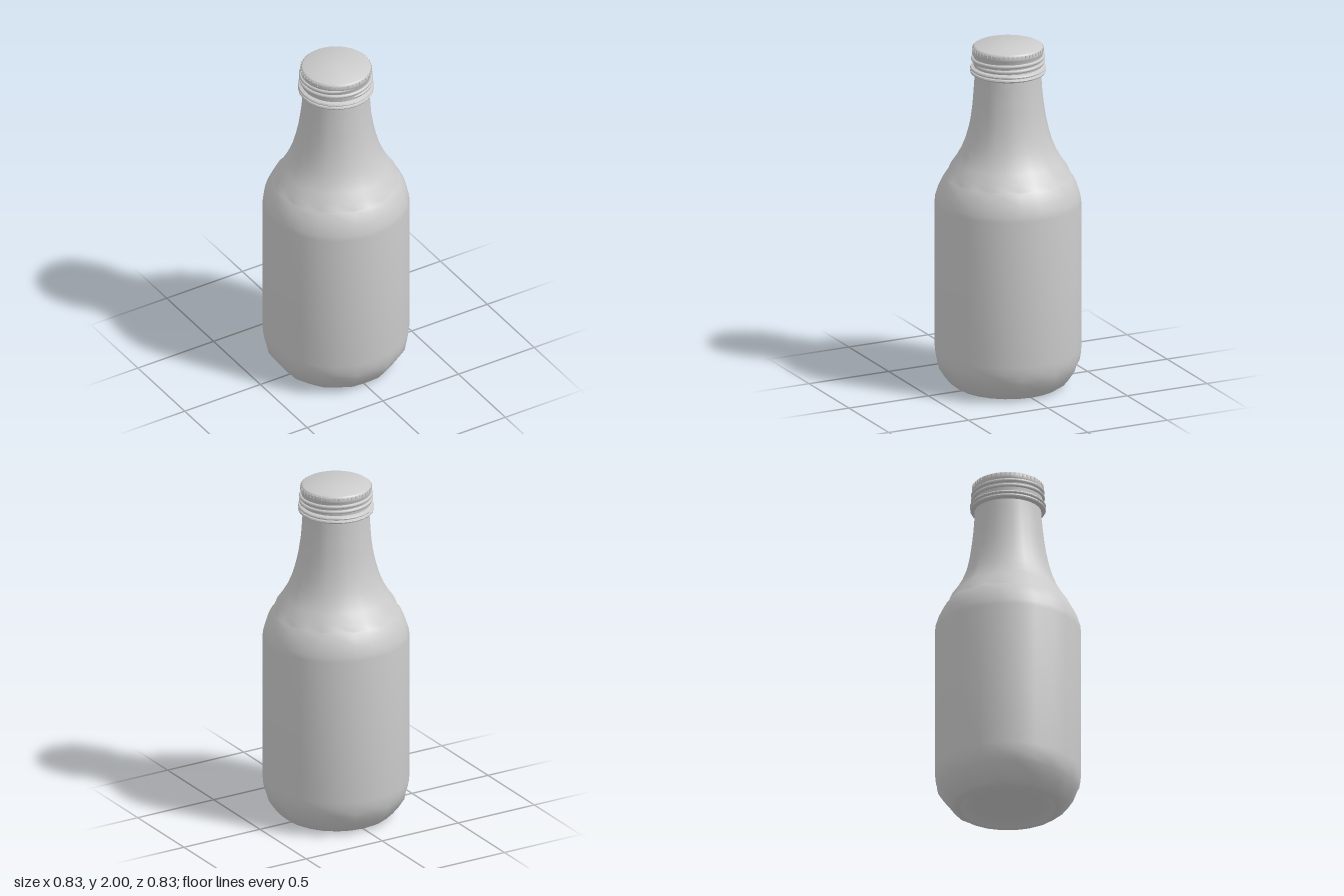
import * as THREE from 'three';
import { toCreasedNormals } from 'three/addons/utils/BufferGeometryUtils.js';

const material = new THREE.MeshStandardMaterial({ color: 0xcccccc });
const SIDES = 24;

// Lathe from [radius, y, flute, lift] rows; odd columns swell by flute and shift by lift
function lathe(rows, sides = SIDES, crease = 0.65) {
  const geo = new THREE.LatheGeometry(rows.map(([r, y]) => new THREE.Vector2(r, y)), sides);
  const pos = geo.attributes.position;
  for (let i = 0; i < pos.count; i++) {
    const column = Math.floor(i / rows.length);
    const [r, y, flute = 0, lift = 0] = rows[i % rows.length];
    if (column % 2 === 0 || r === 0) continue;
    const k = (r + flute) / r;
    pos.setXYZ(i, pos.getX(i) * k, y + lift, pos.getZ(i) * k);
  }
  return toCreasedNormals(geo, crease);
}

function add(group, name, geo) {
  const mesh = new THREE.Mesh(geo, material);
  mesh.name = name;
  group.add(mesh);
  return mesh;
}

// Helical thread whose ends sink into the wall
class ThreadCurve extends THREE.Curve {
  getPoint(t, target = new THREE.Vector3()) {
    const angle = t * Math.PI * 4;
    const r = 0.198 - 0.012 * Math.max(0, 1 - Math.min(t, 1 - t) * 16);
    return target.set(r * Math.sin(angle), 1.895 + 0.06 * t, r * Math.cos(angle));
  }
}

export function createModel() {
  const bottle = new THREE.Group();
  bottle.name = 'bottle';

  // Recessed base, fluted heel, plain label wall, fluted shoulder and neck
  add(bottle, 'body', lathe([
    [0, 0.03], [0.2, 0.026], [0.25, 0.018], [0.265, 0.004], [0.28, 0], [0.3, 0.004],
    [0.322, 0.02, 0.006], [0.354, 0.065, 0.01], [0.386, 0.115, 0.01], [0.395, 0.135, 0.007, 0.008],
    [0.403, 0.148, 0, 0.008], [0.409, 0.18], [0.413, 0.22], [0.413, 0.6], [0.413, 1.08], [0.41, 1.11],
    [0.393, 1.165], [0.372, 1.21], [0.357, 1.237, 0, -0.008], [0.345, 1.247, 0.008, -0.008],
    [0.326, 1.275, 0.012], [0.29, 1.325, 0.013], [0.264, 1.37, 0.013], [0.24, 1.43, 0.012],
    [0.222, 1.5, 0.01], [0.209, 1.57, 0.008], [0.2, 1.65, 0.005], [0.194, 1.73, 0.002],
    [0.19, 1.79], [0.188, 1.845],
  ]));

  // Two thin beads below the closure
  add(bottle, 'neckRings', lathe([
    [0.186, 1.835], [0.2, 1.837], [0.211, 1.842], [0.214, 1.848], [0.211, 1.855], [0.203, 1.858],
    [0.203, 1.862], [0.213, 1.865], [0.215, 1.87], [0.211, 1.877], [0.198, 1.881], [0.19, 1.884],
  ]));

  // Closure wall with rolled top edge
  const cap = new THREE.Group();
  cap.name = 'cap';
  bottle.add(cap);
  add(cap, 'capShell', lathe([
    [0.19, 1.87], [0.194, 1.89], [0.194, 1.955], [0.199, 1.962], [0.2, 1.972],
    [0.199, 1.986], [0.195, 1.995], [0.187, 2], [0, 2],
  ], 48));
  add(cap, 'capThread', new THREE.TubeGeometry(new ThreadCurve(), 96, 0.0105, 8, false));

  // Small grip knurls around the cap edge
  const knurls = new THREE.Group();
  knurls.name = 'knurls';
  cap.add(knurls);
  const knurl = new THREE.BoxGeometry(0.01, 0.018, 0.006);
  for (let i = 0; i < 48; i++) {
    const a = (i + 0.5) / 48 * Math.PI * 2;
    const mesh = add(knurls, 'knurl', knurl);
    mesh.position.set(0.199 * Math.sin(a), 1.981, 0.199 * Math.cos(a));
    mesh.rotation.y = a;
  }
  return bottle;
}
